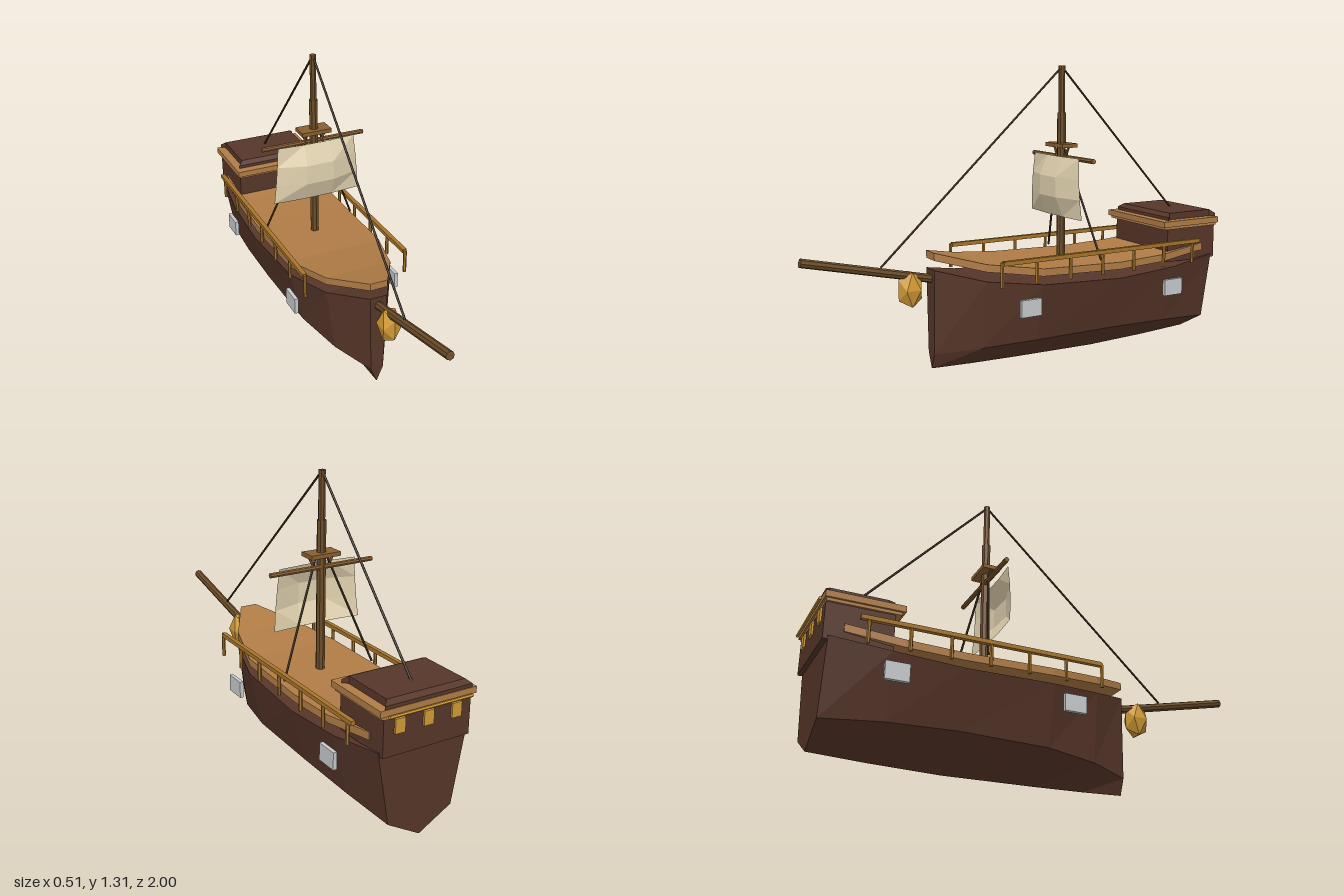
import * as THREE from 'three';

const mat = (name, color) => {
  const m = new THREE.MeshStandardMaterial({ color });
  m.name = name;
  return m;
};

// Skin closed rings, ordered front to back, each counterclockwise seen from +z
function loft(rings) {
  const out = [], n = rings[0].length, last = rings.length - 1;
  const tri = (a, b, c) => out.push(...a, ...b, ...c);
  for (let i = 0; i < last; i++) {
    for (let j = 0; j < n; j++) {
      const k = (j + 1) % n, p = rings[i], q = rings[i + 1];
      tri(p[j], q[j], q[k]);
      tri(p[j], q[k], p[k]);
    }
  }
  for (let j = 1; j < n - 1; j++) {
    tri(rings[0][0], rings[0][j], rings[0][j + 1]);
    tri(rings[last][0], rings[last][j + 1], rings[last][j]);
  }
  const g = new THREE.BufferGeometry();
  g.setAttribute('position', new THREE.Float32BufferAttribute(out, 3));
  g.computeVertexNormals();
  return g;
}

export function createModel() {
  const ship = new THREE.Group();
  ship.name = 'sailingShip';

  const hullWood = mat('darkHullWood', 0x573629);
  const deckWood = mat('deckWood', 0xb07c46);
  const mastWood = mat('mastWood', 0x6b4c28);
  const yardWood = mat('yardWood', 0x8a5f30);
  const railWood = mat('railWood', 0xa8752a);
  const gold = mat('gold', 0xd09a35);
  const canvas = mat('sailCanvas', 0xe2d3b0);
  canvas.side = THREE.DoubleSide;
  const rope = mat('rope', 0x4a3825);
  const portMetal = mat('portMetal', 0xc6cacc);

  const add = (name, geo, material, x = 0, y = 0, z = 0) => {
    const m = new THREE.Mesh(geo, material);
    m.name = name;
    m.position.set(x, y, z);
    ship.add(m);
    return m;
  };
  const box = (name, material, w, h, d, x, y, z) =>
    add(name, new THREE.BoxGeometry(w, h, d), material, x, y, z);
  // Cylinder between two points
  const rod = (name, material, a, b, r, sides = 8) => {
    const p = new THREE.Vector3(...a), q = new THREE.Vector3(...b);
    const d = q.clone().sub(p);
    const g = new THREE.CylinderGeometry(r, r, d.length(), sides).toNonIndexed();
    g.computeVertexNormals();
    const m = add(name, g, material);
    m.position.copy(p).add(q).multiplyScalar(0.5);
    m.quaternion.setFromUnitVectors(new THREE.Vector3(0, 1, 0), d.normalize());
    return m;
  };

  // Hull sections: z, half width, sheer, chine and keel heights
  const sections = [
    [0.43, 0.04, 0.46, 0.09, 0.02],
    [0.24, 0.155, 0.412, 0.11, 0.012],
    [0, 0.225, 0.385, 0.125, 0.006],
    [-0.4, 0.243, 0.372, 0.13, 0],
    [-0.7, 0.235, 0.39, 0.122, 0.008],
    [-0.95, 0.205, 0.42, 0.105, 0.02],
  ];
  add('hull', loft(sections.map(([z, w, top, chine, keel]) => [
    [-w, top, z], [-w * 0.73, chine, z], [0, keel, z], [w * 0.73, chine, z], [w, top, z],
  ])), hullWood);

  // Deck plate: z, half width, top height
  const deck = [
    [0.43, 0.04, 0.535], [0.24, 0.155, 0.487], [0, 0.223, 0.455],
    [-0.4, 0.232, 0.443], [-0.65, 0.226, 0.452], [-0.89, 0.205, 0.48],
  ];
  add('deck', loft(deck.map(([z, w, y]) => [
    [-w, y, z], [-w, y - 0.033, z], [w, y - 0.033, z], [w, y, z],
  ])), deckWood);

  // Railings and gun ports on both sides
  for (const s of [-1, 1]) {
    box('railBar', railWood, 0.02, 0.018, 1.05, s * 0.242, 0.503, -0.315);
    for (let i = 0; i < 7; i++) {
      const z = 0.215 - i * 0.17;
      rod('railPost', railWood, [s * 0.242, 0.4, z], [s * 0.242, 0.508, z], 0.008, 6);
    }
    for (const z of [0.08, -0.685]) {
      box('gunPort', portMetal, 0.017, 0.075, 0.1, s * 0.249, 0.3, z);
    }
  }

  // Stern cabin
  box('cabin', hullWood, 0.4, 0.16, 0.28, 0, 0.485, -0.83);
  box('cabinTrimLower', deckWood, 0.42, 0.015, 0.305, 0, 0.568, -0.818);
  box('cabinTrimUpper', deckWood, 0.44, 0.027, 0.325, 0, 0.587, -0.815);
  const roofRing = (z, w, y) => [[-w, y, z], [-w, 0.6, z], [w, 0.6, z], [w, y, z]];
  add('cabinRoof', loft([
    roofRing(-0.695, 0.2, 0.615), roofRing(-0.715, 0.18, 0.632),
    roofRing(-0.955, 0.18, 0.632), roofRing(-0.975, 0.2, 0.615),
  ]), hullWood);
  for (const x of [-0.13, 0, 0.13]) {
    box('sternWindow', gold, 0.045, 0.06, 0.009, x, 0.525, -0.974);
  }
  rod('sternRail', gold, [-0.19, 0.575, -0.99], [0.19, 0.575, -0.99], 0.007, 6);

  // Mast, lookout and yard
  const mz = -0.228;
  rod('lowerMast', mastWood, [0, 0.4, mz], [0, 1.105, mz], 0.02);
  rod('upperMast', mastWood, [0, 1.1, mz], [0, 1.312, mz], 0.015);
  box('lookout', yardWood, 0.142, 0.018, 0.08, 0, 0.96, mz);
  rod('yard', yardWood, [-0.248, 0.905, -0.235], [0.248, 0.905, -0.235], 0.011);
  for (const s of [-1, 1]) {
    rod('lookoutStrut', yardWood, [s * 0.035, 0.905, mz], [s * 0.06, 0.955, mz], 0.006, 6);
    rod('shroud', rope, [s * 0.03, 0.94, mz], [s * 0.22, 0.46, -0.3], 0.005, 6);
  }

  // Billowing square sail, 3 by 3 panels
  let sail = new THREE.PlaneGeometry(1, 1, 3, 3);
  const p = sail.attributes.position;
  for (let i = 0; i < p.count; i++) {
    const u = p.getX(i), v = 0.5 - p.getY(i);
    const belly = Math.abs(u) < 0.4 ? 0.048 : 0.008;
    p.setXYZ(i, u * (0.37 + 0.05 * v), 0.913 - 0.27 * v,
      -0.203 + belly * (v > 0.1 && v < 0.9 ? 1 : 0.25));
  }
  sail = sail.toNonIndexed();
  sail.computeVertexNormals();
  add('sail', sail, canvas);

  // Bowsprit, figurehead and stays
  rod('bowsprit', mastWood, [0, 0.405, 0.37], [0, 0.546, 0.996], 0.019);
  const figure = add('figurehead', new THREE.IcosahedronGeometry(1, 0), gold, 0, 0.383, 0.525);
  figure.scale.set(0.05, 0.088, 0.062);
  rod('forestay', rope, [0, 1.308, mz], [0, 0.49, 0.655], 0.005, 6);
  rod('backstay', rope, [0, 1.308, mz], [0, 0.625, -0.865], 0.005, 6);

  return ship;
}
